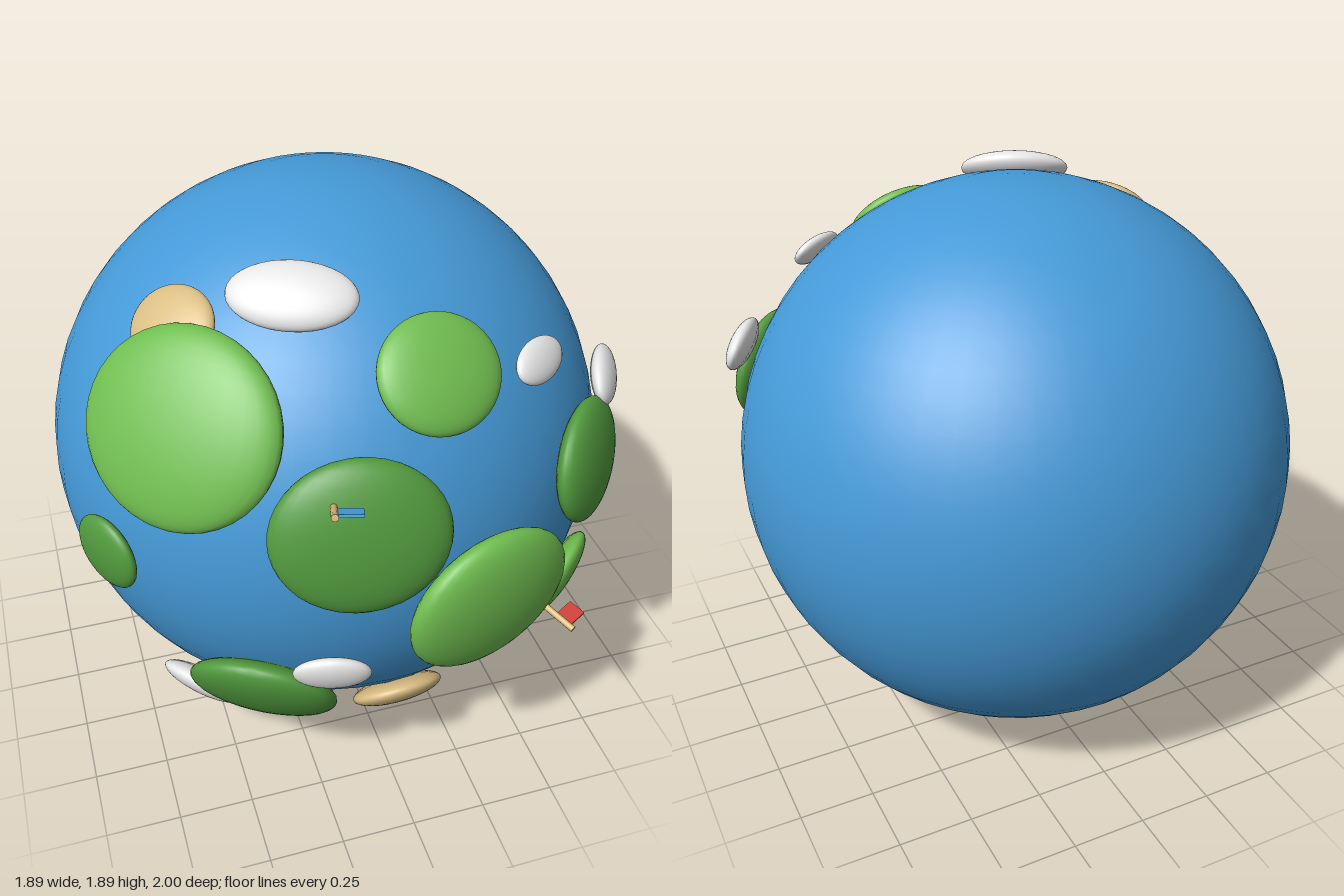
import * as THREE from 'three';

const R = 0.945; // globe radius
const CENTER = new THREE.Vector3(0, R, -0.055);

const mat = (name, color) => {
  const m = new THREE.MeshStandardMaterial({ color });
  m.name = name;
  return m;
};

// Group sitting on the globe centre, local z outward, local x level, local y up the surface
function surfaceFrame(name, x, y, z) {
  const n = new THREE.Vector3(x, y, z).normalize();
  const u = new THREE.Vector3(n.z, 0, -n.x).normalize();
  const v = n.clone().cross(u);
  const g = new THREE.Group();
  g.name = name;
  g.quaternion.setFromRotationMatrix(new THREE.Matrix4().makeBasis(u, v, n));
  return g;
}

export function createModel() {
  const model = new THREE.Group();
  model.name = 'globe';
  const ocean = mat('ocean blue', 0x459ad8);
  const light = mat('light green', 0x70bd50);
  const dark = mat('dark green', 0x529a3e);
  const sand = mat('sand', 0xd8bc82);
  const white = mat('cloud white', 0xe8e8e8);
  const wood = mat('pole wood', 0xdcb878);
  const red = mat('flag red', 0xd8463e);
  const blue = mat('flag blue', 0x48a4e6);

  const world = new THREE.Group();
  world.name = 'world';
  world.position.copy(CENTER);
  model.add(world);

  const sea = new THREE.Mesh(new THREE.SphereGeometry(R, 48, 32), ocean);
  sea.name = 'ocean';
  world.add(sea);

  // Flattened ellipsoids: name, material, distance from centre, x, y (front position), half sizes
  const blob = new THREE.SphereGeometry(1, 32, 20);
  const LAND = 0.975, SKY = 1.007;
  const patches = [
    ['landUpperLeft', light, LAND, -0.60, 1.44, 0.327, 0.30, 0.092],
    ['landCentre', dark, LAND, -0.167, 1.203, 0.269, 0.241, 0.078],
    ['landCentreRight', light, LAND, 0.25, 0.863, 0.291, 0.263, 0.085],
    ['landFarLeft', dark, LAND, -0.848, 0.948, 0.135, 0.126, 0.04],
    ['landTop', light, LAND, 0.126, 1.578, 0.197, 0.181, 0.057],
    ['landRight', dark, LAND, 0.674, 1.122, 0.22, 0.20, 0.065],
    ['landLowerRight', light, LAND, 0.646, 0.613, 0.175, 0.159, 0.05],
    ['landLowerLeft', dark, LAND, -0.427, 0.463, 0.247, 0.221, 0.071],
    ['desertBottom', sand, LAND, 0.058, 0.26, 0.16, 0.144, 0.046],
    ['desertUpperLeft', sand, LAND, -0.57, 1.645, 0.15, 0.132, 0.043],
    ['cloudTop', white, SKY, -0.247, 1.775, 0.193, 0.11, 0.052],
    ['cloudUpperRight', white, SKY, 0.467, 1.528, 0.114, 0.066, 0.031],
    ['cloudRight', white, SKY, 0.813, 1.294, 0.14, 0.084, 0.039],
    ['cloudCentre', white, SKY, -0.255, 0.689, 0.122, 0.075, 0.035],
    ['cloudLowerLeft', white, SKY, -0.591, 0.301, 0.156, 0.093, 0.042],
  ];
  for (const [name, material, dist, x, y, a, b, t] of patches) {
    const dy = y - CENTER.y;
    const frame = surfaceFrame(name, x, dy, Math.sqrt(dist * dist - x * x - dy * dy));
    const mesh = new THREE.Mesh(blob, material);
    mesh.name = name + 'Mound';
    mesh.position.z = dist;
    mesh.scale.set(a, b, t);
    frame.add(mesh);
    world.add(frame);
  }

  // Flags on poles that stand straight out of the ground
  const poleGeo = new THREE.CylinderGeometry(0.011, 0.011, 0.18, 10).rotateX(Math.PI / 2);
  const flagGeo = new THREE.BoxGeometry(0.08, 0.009, 0.058);
  for (const [name, material, x, y, z] of [
    ['blueFlag', blue, -0.24, 0.376, 0.894],
    ['redFlag', red, 0.483, -0.25, 0.84],
  ]) {
    const frame = surfaceFrame(name, x, y, z);
    const pole = new THREE.Mesh(poleGeo, wood);
    pole.name = name + 'Pole';
    pole.position.z = 1.052;
    const cloth = new THREE.Mesh(flagGeo, material);
    cloth.name = name + 'Cloth';
    cloth.position.set(0.042, 0, 1.098);
    frame.add(pole, cloth);
    world.add(frame);
  }
  return model;
}
